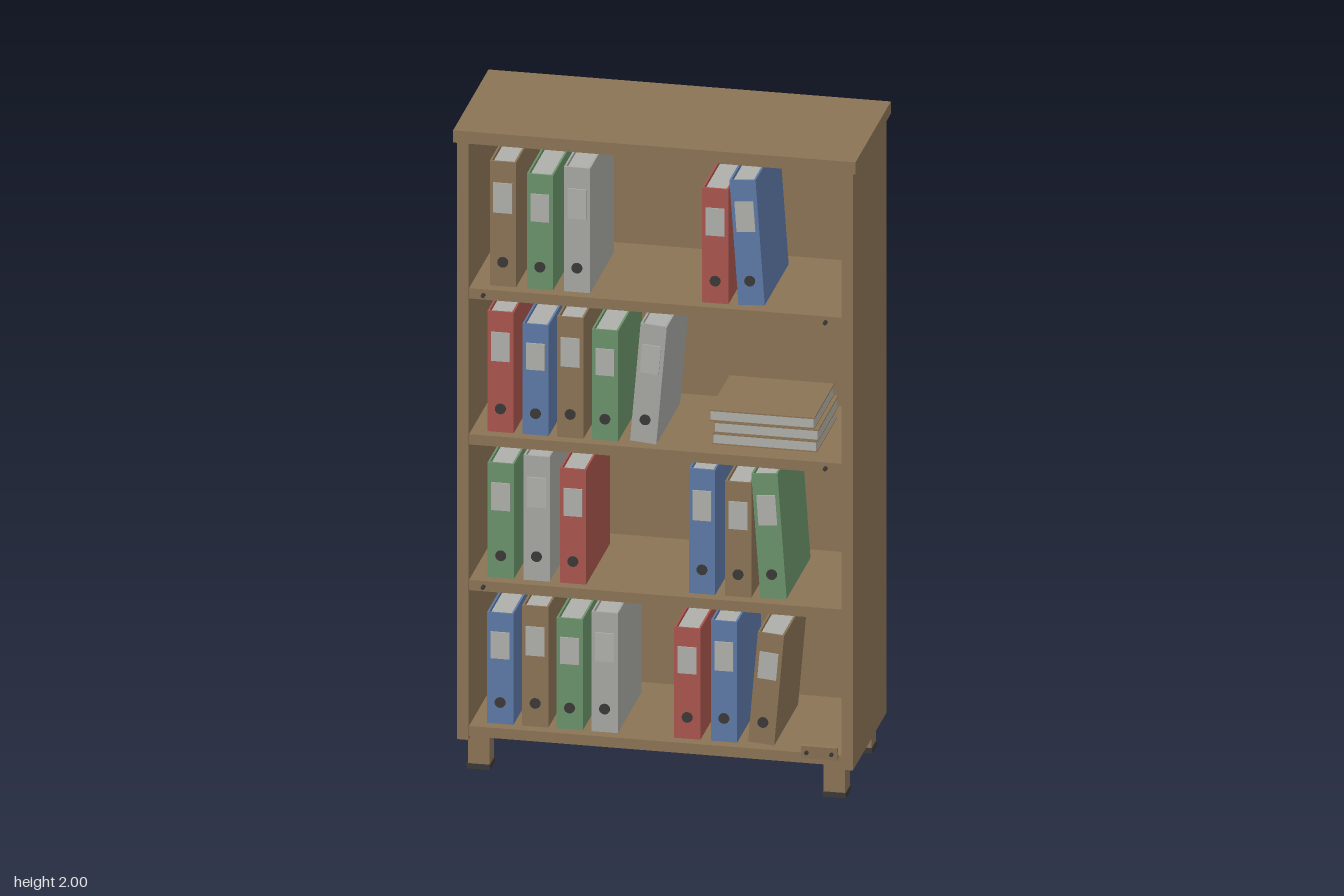
import * as THREE from 'three';

const mat = (name, color) => Object.assign(new THREE.MeshStandardMaterial({ color }), { name });

export function createModel() {
  const wood = mat('wood', 0x8b7355);
  const red = mat('red', 0xa8544c);
  const blue = mat('blue', 0x5c78a6);
  const green = mat('green', 0x6a926a);
  const grey = mat('grey', 0xa6a6a2);
  const paper = mat('paper', 0xaeaeaa);
  const dark = mat('dark', 0x3a3836);

  const model = new THREE.Group();
  model.name = 'bookcase';

  // Box given by its minimum and maximum corners
  function box(parent, name, material, x0, x1, y0, y1, z0, z1) {
    const mesh = new THREE.Mesh(new THREE.BoxGeometry(x1 - x0, y1 - y0, z1 - z0), material);
    mesh.position.set((x0 + x1) / 2, (y0 + y1) / 2, (z0 + z1) / 2);
    mesh.name = name;
    parent.add(mesh);
    return mesh;
  }

  // Round disc facing the front
  function disc(parent, name, x, y, z, r, depth) {
    const mesh = new THREE.Mesh(new THREE.CylinderGeometry(r, r, depth, 16), dark);
    mesh.rotation.x = Math.PI / 2;
    mesh.position.set(x, y, z);
    mesh.name = name;
    parent.add(mesh);
  }

  // Carcass
  box(model, 'topBoard', wood, -0.597, 0.597, 1.962, 2, -0.248, 0.24);
  for (const s of [-1, 1]) {
    const inner = 0.553 * s, outer = 0.587 * s;
    box(model, 'sidePanel', wood, Math.min(inner, outer), Math.max(inner, outer), 0.096, 1.962, -0.235, 0.23);
  }
  box(model, 'backPanel', wood, -0.553, 0.553, 0.106, 1.962, -0.232, -0.217);

  // Legs with dark foot pads
  for (const x of [-0.528, 0.528]) {
    for (const z of [-0.182, 0.178]) {
      box(model, 'leg', wood, x - 0.032, x + 0.032, 0.014, 0.108, z - 0.032, z + 0.032);
      box(model, 'footPad', dark, x - 0.035, x + 0.035, 0, 0.016, z - 0.035, z + 0.035);
    }
  }

  // Binder: spine, two covers, page block, label and finger hole
  const W = 0.078, FRONT = 0.19, BACK = -0.14;
  function binder(x, base, material, h, tilt) {
    const g = new THREE.Group();
    g.name = 'binder';
    const w = W / 2, t = 0.006;
    box(g, 'spine', material, -w, w, 0, h, FRONT - t, FRONT);
    box(g, 'leftCover', material, w - t, w, 0, h, BACK, FRONT - t);
    box(g, 'rightCover', material, -w, t - w, 0, h, BACK, FRONT - t);
    box(g, 'pages', paper, t - w, w - t, 0.01, h - 0.01, BACK + 0.01, FRONT - t);
    box(g, 'label', paper, -0.028, 0.028, h * 0.59, h * 0.83, FRONT, FRONT + 0.004);
    disc(g, 'fingerHole', 0, h * 0.195, FRONT + 0.002, 0.016, 0.005);
    g.rotation.z = tilt;
    g.position.set(x, base + w * Math.abs(Math.sin(tilt)), 0);
    model.add(g);
  }

  // Shelves: top height, screw positions, binders as [x, colour, height, tilt]
  const T = 0.389, S = 0.358;
  const shelves = [
    { y: 1.505, screws: [-0.51, 0.505], binders: [
      [-0.46, wood, T], [-0.35, green, S], [-0.24, grey, T], [0.17, red, S], [0.278, blue, T, 0.07]] },
    { y: 1.049, screws: [0.505], binders: [
      [-0.467, red, 0.376], [-0.363, blue, 0.345], [-0.26, wood, 0.376], [-0.157, green, 0.345],
      [-0.044, grey, 0.37, -0.085]] },
    { y: 0.594, screws: [-0.51], binders: [
      [-0.466, green, S], [-0.36, grey, T], [-0.252, red, S], [0.131, blue, T], [0.238, wood, S],
      [0.343, green, T, 0.07]] },
    { y: 0.138, screws: [], binders: [
      [-0.468, blue, 0.346], [-0.364, wood, 0.376], [-0.262, green, 0.346], [-0.158, grey, 0.374],
      [0.087, red, 0.346], [0.196, blue, 0.376], [0.306, wood, 0.346, -0.085]] },
  ];
  for (const { y, screws, binders } of shelves) {
    box(model, 'shelf', wood, -0.553, 0.553, y - 0.032, y, -0.217, 0.225);
    for (const x of screws) disc(model, 'shelfScrew', x, y - 0.017, 0.231, 0.006, 0.012);
    for (const [x, material, h, tilt = 0] of binders) binder(x, y, material, h, tilt);
  }

  // Stack of bound papers with thin covers
  [0.008, 0.012, 0].forEach((dx, i) => {
    const y = 1.049 + i * 0.036;
    const x0 = 0.148 + dx, x1 = x0 + 0.305;
    box(model, 'paperStack', paper, x0, x1, y + 0.003, y + 0.031, -0.12, 0.15);
    box(model, 'stackCover', wood, x0 - 0.003, x1 + 0.003, y + 0.031, y + 0.035, -0.123, 0.153);
    box(model, 'stackBase', wood, x0 - 0.003, x1 + 0.003, y, y + 0.003, -0.123, 0.153);
  });

  // Small bolted plate on the lower front corner
  const plate = new THREE.Group();
  plate.name = 'cornerPlate';
  box(plate, 'plate', wood, -0.054, 0.054, -0.02, 0.02, -0.008, 0.004);
  for (const x of [-0.037, 0.037]) disc(plate, 'plateBolt', x, 0, 0.006, 0.006, 0.01);
  plate.position.set(0.489, 0.146, 0.236);
  plate.rotation.x = 0.1;
  model.add(plate);

  return model;
}
